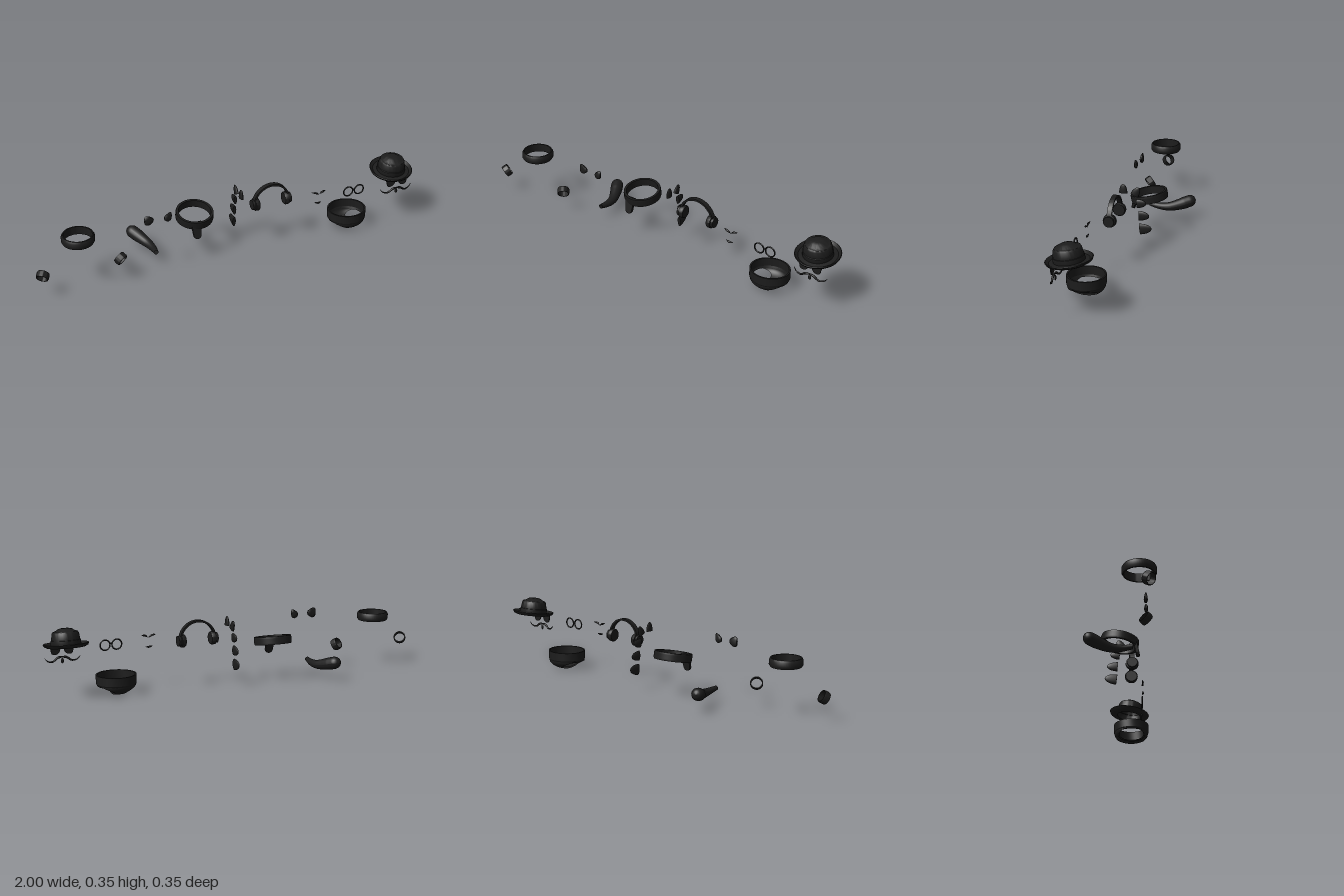
import * as THREE from 'three';
import { toCreasedNormals, mergeVertices } from 'three/addons/utils/BufferGeometryUtils.js';

const material = new THREE.MeshStandardMaterial({ color: 0x1c1c1c, side: THREE.DoubleSide });
const V = (p) => new THREE.Vector3(...p);

function add(parent, name, geometry, position = [0, 0, 0], rotation = [0, 0, 0], scale = [1, 1, 1]) {
  const mesh = new THREE.Mesh(geometry, material);
  mesh.name = name;
  mesh.position.set(...position);
  mesh.rotation.set(...rotation);
  mesh.scale.set(...scale);
  parent.add(mesh);
  return mesh;
}

function group(parent, name, position = [0, 0, 0]) {
  const g = new THREE.Group();
  g.name = name;
  g.position.set(...position);
  parent.add(g);
  return g;
}

// Revolved [radius, height] profile with sharp edges kept
function lathe(profile, sides = 48, crease = 0.7) {
  const pts = profile.map(([r, y]) => new THREE.Vector2(r, y));
  return toCreasedNormals(new THREE.LatheGeometry(pts, sides), crease);
}

// Hollow ring with a slightly bulging outside
function band(outer, inner, height, bulge = 0) {
  const h = height / 2;
  return lathe([[outer - bulge, -h], [outer, -h * 0.5], [outer, h * 0.5], [outer - bulge, h],
    [inner, h], [inner, -h], [outer - bulge, -h]]);
}

// Tube whose radius follows a rule along its length
function taper(points, radius, sides = 12, segments = 32) {
  const curve = new THREE.CatmullRomCurve3(points.map(V));
  const g = new THREE.TubeGeometry(curve, segments, 1, sides);
  const pos = g.attributes.position, v = new THREE.Vector3();
  for (let i = 0; i < pos.count; i++) {
    const t = Math.floor(i / (sides + 1)) / segments;
    const c = curve.getPointAt(t);
    v.fromBufferAttribute(pos, i).sub(c).multiplyScalar(radius(t)).add(c);
    pos.setXYZ(i, v.x, v.y, v.z);
  }
  g.computeVertexNormals();
  return g;
}

// Grid surface from a function of u and v
function surface(fn, nu, nv) {
  const g = new THREE.PlaneGeometry(1, 1, nu, nv);
  const pos = g.attributes.position;
  for (let i = 0; i < pos.count; i++) pos.setXYZ(i, ...fn(pos.getX(i) + 0.5, pos.getY(i) + 0.5));
  g.computeVertexNormals();
  return g;
}

function addBriefs(root) {
  const briefs = group(root, 'briefs', [0.643, 0, 0.072]);
  const waist = add(briefs, 'waistBand', lathe([[0.94, 0.046], [1, 0.058], [1, 0.1],
    [0.92, 0.1], [0.92, 0.058], [0.88, 0.048], [0.94, 0.046]]));
  waist.scale.set(0.099, 1, 0.092);
  // Crotch strip, wide at front and back and narrow beneath, with an inner lining
  const strip = (inset) => surface((u, v) => {
    const t = Math.PI * v;
    const w = 0.022 + 0.07 * Math.pow(Math.abs(Math.cos(t)), 8);
    const x = (2 * u - 1) * w, s = Math.sqrt(1 - (x / 0.097) ** 2);
    return [x, 0.052 - (0.05 - inset) * Math.sin(t) * s, (0.089 - inset) * Math.cos(t) * s];
  }, 16, 48);
  add(briefs, 'crotchStrip', strip(0));
  add(briefs, 'crotchLining', strip(0.007));
}

function addHeadphones(root) {
  const phones = group(root, 'headphones', [0.22, 0.232, 0.065]);
  const arch = new THREE.Shape();
  arch.absarc(0, 0, 0.097, 0, Math.PI, false);
  arch.absarc(0, 0, 0.087, Math.PI, 0, true);
  const archGeo = new THREE.ExtrudeGeometry(arch, { depth: 0.024, bevelEnabled: false, curveSegments: 32 });
  archGeo.translate(0, 0, -0.012);
  add(phones, 'headArch', toCreasedNormals(mergeVertices(archGeo), 0.6));
  const cup = lathe([[0, 0], [0.026, 0], [0.026, 0.012], [0.032, 0.014], [0.033, 0.03], [0.029, 0.036], [0, 0.036]], 32);
  for (const s of [-1, 1]) add(phones, 'earCup', cup, [s * 0.104, 0, 0], [0, 0, s * Math.PI / 2]);
}

function addHat(root) {
  const hat = group(root, 'hat', [0.89, 0.268, 0.068]);
  hat.rotation.x = 0.14;
  add(hat, 'brim', lathe([[0.064, -0.012], [0.09, -0.011], [0.104, -0.004], [0.109, 0.006],
    [0.106, 0.009], [0.092, -0.002], [0.072, 0.001], [0.064, -0.012]]));
  add(hat, 'hatRibbon', lathe([[0.071, -0.002], [0.072, 0.003], [0.071, 0.023], [0.066, 0.025]]));
  add(hat, 'crown', lathe([[0.064, -0.012], [0.069, 0.01], [0.068, 0.03], [0.064, 0.055], [0.059, 0.063],
    [0.052, 0.065], [0.043, 0.068], [0.033, 0.076], [0.018, 0.079], [0, 0.079]]));
}

function addDisguise(root) {
  const face = group(root, 'disguise', [0.89, 0, 0.132]);
  // Dark spectacles
  const lens = new THREE.Shape();
  lens.moveTo(0.006, 0.244);
  lens.lineTo(0.058, 0.244);
  lens.lineTo(0.054, 0.218);
  lens.quadraticCurveTo(0.05, 0.208, 0.036, 0.208);
  lens.quadraticCurveTo(0.014, 0.209, 0.009, 0.234);
  const lensGeo = new THREE.ExtrudeGeometry(lens, { depth: 0.005, bevelEnabled: false });
  const whisker = taper([[0, 0.196, 0.004], [0.022, 0.192, 0.005], [0.048, 0.176, 0.002], [0.074, 0.181, -0.003],
    [0.088, 0.197, -0.005]], (t) => 0.0005 + 0.006 * Math.pow(1 - t, 0.6) * Math.min(1, 0.4 + t * 4));
  for (const s of [-1, 1]) {
    add(face, 'darkLens', lensGeo, [0, 0, 0], [0, 0, 0], [s, 1, 1]);
    add(face, 'moustacheHalf', whisker, [0, 0, 0], [0, 0, 0], [s, 1, 1]);
  }
  add(face, 'bridge', new THREE.BoxGeometry(0.118, 0.008, 0.005), [0, 0.242, 0.0025]);
  add(face, 'chinTuft', new THREE.SphereGeometry(1, 16, 10), [0, 0.177, 0.002], [0, 0, 0], [0.008, 0.013, 0.004]);
}

export function createModel() {
  const root = new THREE.Group();
  root.name = 'accessorySet';

  // Wristbands, mirrored about the headband
  const wrist = band(0.031, 0.026, 0.031, 0.002);
  for (const s of [-1, 1]) {
    const cuff = add(root, 'wristband', wrist, [-0.777 + s * 0.192, 0.122, 0.109]);
    cuff.quaternion.setFromUnitVectors(new THREE.Vector3(0, 1, 0), V([-s * 0.5, 0.5, -0.7]).normalize());
  }
  add(root, 'headband', band(0.08, 0.068, 0.042, 0.006), [-0.778, 0.264, 0.074]);

  // Pair of small flattened ears
  const ear = lathe([[0, -0.024], [0.014, -0.023], [0.023, -0.014], [0.024, -0.004], [0.017, 0.012], [0.008, 0.024], [0, 0.028]], 24, 1.2);
  add(root, 'ear', ear, [-0.442, 0.302, 0.115], [0, 0, 0.55], [1.05, 1, 0.4]);
  add(root, 'ear', ear, [-0.342, 0.302, 0.12], [0, 0, -0.5], [0.8, 0.95, 0.4]);

  // Tail, thin at the root and fat at the rounded tip
  add(root, 'tail', taper([[-0.385, 0.075, 0.055], [-0.382, 0.068, 0], [-0.389, 0.068, -0.05],
    [-0.41, 0.078, -0.1], [-0.436, 0.093, -0.15], [-0.447, 0.098, -0.176]],
  (t) => (0.011 + 0.02 * Math.min(1, t * 1.35)) * Math.sqrt(Math.max(0, 1 - Math.pow(Math.max(0, (t - 0.86) / 0.14), 2))), 20, 60));

  // Tilted collar with a hanging tongue
  const collar = group(root, 'collar', [-0.16, 0.207, -0.003]);
  add(collar, 'collarBand', band(0.094, 0.08, 0.04, 0.002), [0, 0, 0], [0.18, 0, 0]);
  const tongue = new THREE.Shape();
  tongue.moveTo(-0.025, 0.012);
  tongue.lineTo(0.025, 0.012);
  tongue.lineTo(0.018, -0.045);
  tongue.absarc(0, -0.052, 0.018, 0, Math.PI, true);
  const tongueGeo = new THREE.ExtrudeGeometry(tongue, { depth: 0.01, bevelSize: 0.002, bevelThickness: 0.003, bevelSegments: 2 });
  add(collar, 'collarTongue', tongueGeo, [-0.02, -0.016, 0.069], [-0.22, 0, 0]);

  // Row of spines running down the back: [y, z, length, half height, tilt]
  const dome = [[0, 0], [1, 0]];
  for (let i = 1; i <= 10; i++) dome.push([Math.cos(i * Math.PI / 20), Math.sin(i * Math.PI / 20)]);
  const spine = lathe(dome, 24);
  for (const [y, z, length, half, tilt] of [[0.287, 0.07, 0.046, 0.021, 0], [0.28, 0.014, 0.047, 0.021, -0.5],
    [0.238, 0.001, 0.047, 0.023, -1.5], [0.176, -0.009, 0.053, 0.025, -1.55], [0.106, -0.014, 0.06, 0.028, -1.45]]) {
    add(root, 'backSpine', spine, [0.057, y, z], [tilt, 0, 0], [0.009, length, half]);
  }

  addHeadphones(root);

  // Brows and mouth strokes
  const stroke = (t) => 0.0005 + 0.0045 * Math.sin(Math.PI * t);
  add(root, 'brow', taper([[0.414, 0.265, 0.124], [0.436, 0.26, 0.129], [0.454, 0.25, 0.127]], stroke, 8));
  add(root, 'brow', taper([[0.456, 0.252, 0.127], [0.47, 0.261, 0.129], [0.49, 0.264, 0.124]], stroke, 8));
  add(root, 'mouth', taper([[0.43, 0.208, 0.128], [0.45, 0.203, 0.13], [0.468, 0.205, 0.128]], stroke, 8));

  // Round spectacles
  const glasses = group(root, 'roundGlasses', [0.645, 0.232, 0.132]);
  for (const s of [-1, 1]) add(glasses, 'lensRim', new THREE.TorusGeometry(0.025, 0.0035, 8, 36), [s * 0.03, 0, 0]);
  add(glasses, 'noseBridge', new THREE.TorusGeometry(0.006, 0.003, 8, 12, Math.PI), [0, 0.001, 0]);

  addBriefs(root);
  addHat(root);
  addDisguise(root);
  return root;
}
